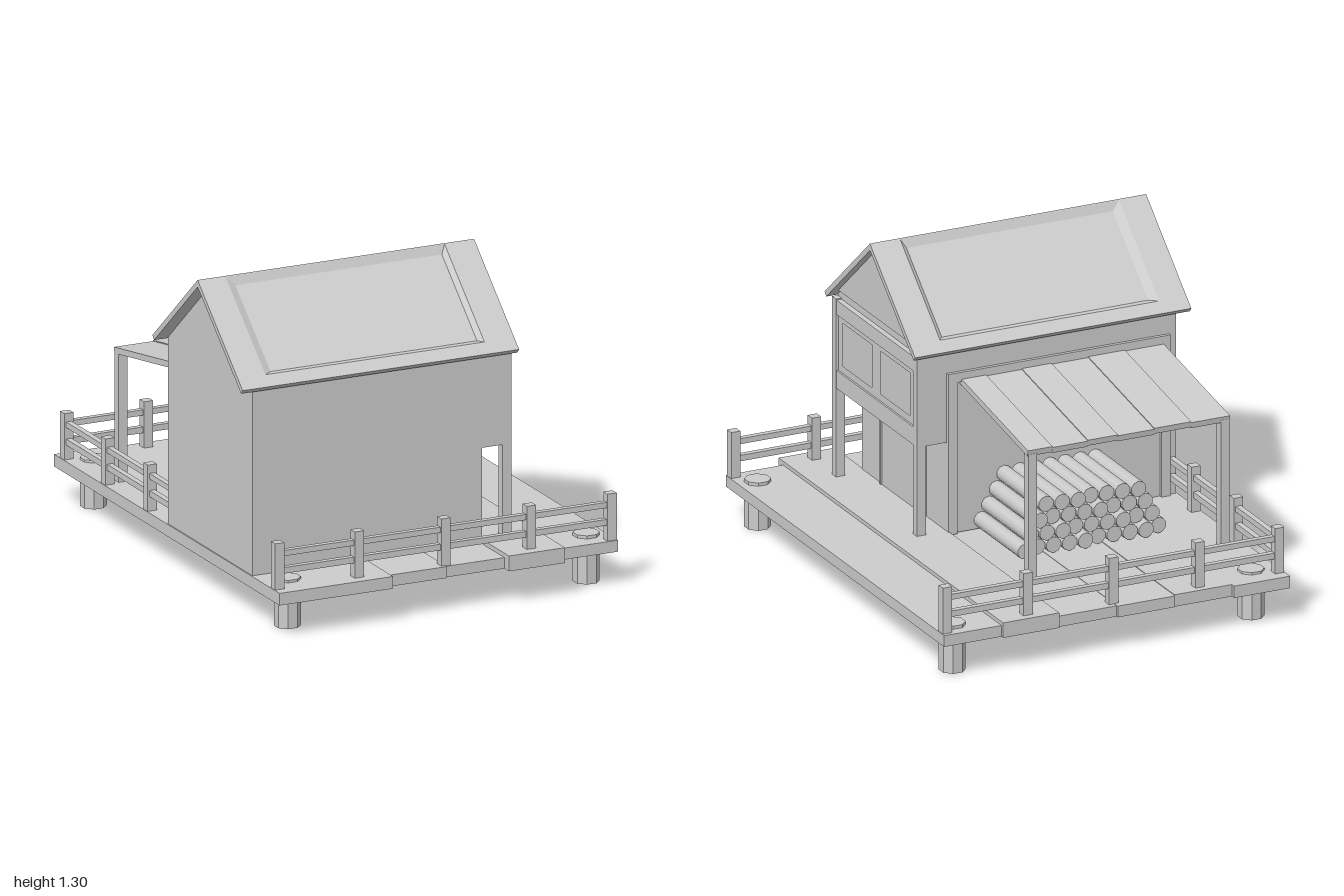
import * as THREE from 'three';

const timber = new THREE.MeshStandardMaterial({ color: 0xcccccc });
timber.name = 'paleGrey';

export function createModel() {
  const model = new THREE.Group();
  model.name = 'cabin';

  const add = (name, geometry, parent = model) => {
    const mesh = new THREE.Mesh(geometry, timber);
    mesh.name = name;
    parent.add(mesh);
    return mesh;
  };
  // box given by its minimum and maximum on each axis
  const box = (name, x0, x1, y0, y1, z0, z1, parent) =>
    add(name, new THREE.BoxGeometry(x1 - x0, y1 - y0, z1 - z0), parent)
      .position.set((x0 + x1) / 2, (y0 + y1) / 2, (z0 + z1) / 2);
  const group = (name) => {
    const g = new THREE.Group();
    g.name = name;
    model.add(g);
    return g;
  };
  // outline of (z, y) points pushed along x from x0 to x1
  const slab = (name, points, x0, x1, parent, holes = []) => {
    const toPath = (C, pts) => new C(pts.map(([z, y]) => new THREE.Vector2(-z, y)));
    const shape = toPath(THREE.Shape, points);
    shape.holes = holes.map((h) => toPath(THREE.Path, h));
    const g = new THREE.ExtrudeGeometry(shape, { depth: x1 - x0, bevelEnabled: false });
    add(name, g.rotateY(Math.PI / 2).translate(x0, 0, 0), parent);
  };
  const rect = (z0, z1, y0, y1) => [[z0, y0], [z1, y0], [z1, y1], [z0, y1]];

  // deck planks: x0, x1, back z, front z, top
  const deck = group('deck');
  [
    [-0.725, -0.48, -1, 1, 0.19],
    [-0.48, -0.23, -0.98, 1, 0.19],
    [-0.23, 0.02, -0.985, 0.97, 0.187],
    [0.02, 0.275, -0.975, 0.96, 0.185],
    [0.275, 0.52, -0.985, 1, 0.203],
    [0.52, 0.77, -0.97, 0.96, 0.187],
  ].forEach(([x0, x1, z0, z1, top]) => box('plank', x0, x1, 0.14, top, z0, z1, deck));

  // octagonal stilts poking through the deck
  const stilts = group('stilts');
  for (const x of [-0.615, 0.688]) for (const z of [-0.875, 0.845]) {
    const g = new THREE.CylinderGeometry(0.053, 0.053, 0.2, 8).rotateY(Math.PI / 8).toNonIndexed();
    g.computeVertexNormals();
    add('stilt', g, stilts).position.set(x, 0.1, z);
  }

  // fences along front, back and the open stretch of the left edge
  const fence = group('fence');
  const railHeights = [[0.25, 0.275], [0.322, 0.345]];
  const fencePost = (x, z) =>
    box('fencePost', x - 0.02, x + 0.02, 0.18, 0.38, z - 0.019, z + 0.019, fence);
  for (const z of [-0.934, 0.936]) {
    for (const x of [-0.702, -0.355, 0.022, 0.395, 0.747]) fencePost(x, z);
    for (const [y0, y1] of railHeights) box('rail', -0.7, 0.745, y0, y1, z - 0.012, z + 0.012, fence);
  }
  for (const z of [-0.195, -0.57]) fencePost(-0.702, z);
  for (const [y0, y1] of railHeights) box('rail', -0.714, -0.69, y0, y1, -0.93, 0, fence);

  // house body: lower room set back under the wider upper floor
  const house = group('house');
  box('lowerRoom', -0.72, 0.28, 0.19, 0.58, 0, 0.75, house);
  slab('upperFloor', [[0, 0.575], [0.75, 0.575], [0.75, 0.955], [0.375, 1.274], [0, 0.955]], -0.72, 0.385, house);
  for (const z of [0, 0.715]) {
    box('cornerWall', 0.38, 0.41, 0.575, 0.95, z, z + 0.035, house);
    box('porchPost', 0.37, 0.41, 0.19, 0.58, z, z + 0.035, house);
  }

  // gable end: beams, window panel and triangle
  box('lowerBeam', 0.38, 0.408, 0.575, 0.65, 0.035, 0.715, house);
  box('upperBeam', 0.38, 0.408, 0.885, 0.945, 0.035, 0.715, house);
  slab('windowFrames', rect(0.035, 0.715, 0.65, 0.885), 0.38, 0.4, house,
    [rect(0.415, 0.68, 0.68, 0.86), rect(0.08, 0.34, 0.68, 0.86)]);
  slab('gableTriangle', [[0.035, 0.985], [0.715, 0.985], [0.375, 1.274]], 0.38, 0.4, house);

  // door under the porch
  slab('doorFrame', [[0.18, 0.19], [0.192, 0.19], [0.192, 0.53], [0.563, 0.53], [0.563, 0.19],
    [0.575, 0.19], [0.575, 0.542], [0.18, 0.542]], 0.28, 0.29, house);
  box('door', 0.28, 0.284, 0.19, 0.53, 0.192, 0.563, house);

  // trim around the back wall
  box('backTrimTop', -0.69, 0.28, 0.825, 0.865, -0.015, 0, house);
  box('backTrimSide', -0.69, -0.65, 0.19, 0.825, -0.015, 0, house);
  box('backTrimSide', 0.24, 0.28, 0.19, 0.825, -0.015, 0, house);

  // roof slopes, each with a bevelled sunken field
  const roof = group('roof');
  for (const s of [1, -1]) {
    // h: distance from the ridge, d: depth below the surface
    const point = (x, h, d) => [x, 1.305 - h * 0.85 - d * 0.762, 0.375 + s * (h - d * 0.648)];
    const rings = [
      [-0.775, 0.43, 0.0143, 0.4, 0.022],
      [-0.775, 0.43, 0, 0.4, 0],
      [-0.655, 0.3, 0.003, 0.357, 0],
      [-0.62, 0.28, 0.03, 0.342, 0.016],
    ].map(([x0, x1, h0, h1, d]) => {
      const r = [point(x0, h1, d), point(x1, h1, d), point(x1, h0, d), point(x0, h0, d)];
      return s > 0 ? r : r.reverse();
    });
    const pos = [];
    const quad = (a, b, c, d) => pos.push(...a, ...b, ...c, ...a, ...c, ...d);
    for (let i = 0; i < 3; i++) for (let j = 0; j < 4; j++) {
      const k = (j + 1) % 4;
      quad(rings[i][j], rings[i][k], rings[i + 1][k], rings[i + 1][j]);
    }
    quad(...rings[3]);
    quad(...[...rings[0]].reverse());
    const g = new THREE.BufferGeometry();
    g.setAttribute('position', new THREE.Float32BufferAttribute(pos, 3));
    g.computeVertexNormals();
    add(s > 0 ? 'frontSlope' : 'backSlope', g, roof);
  }

  // lean-to roof of sloping boards on two posts
  const leanTo = group('leanTo');
  const edges = [-0.66, -0.49, -0.33, -0.17, -0.04, 0.115, 0.222];
  for (let i = 0; i < edges.length - 1; i++) {
    const lift = (i % 2) * 0.004;
    const g = new THREE.BoxGeometry(edges[i + 1] - edges[i], 0.025, 0.605);
    const board = add('roofBoard', g, leanTo);
    board.position.set((edges[i] + edges[i + 1]) / 2, 0.772 + lift, -0.3);
    board.rotation.x = -0.163;
  }
  for (const x of [-0.64, 0.2]) box('leanToPost', x - 0.019, x + 0.019, 0.18, 0.722, -0.599, -0.561, leanTo);

  // stacked logs, one fewer in each higher row
  const logs = group('logPile');
  for (let row = 0; row < 4; row++) for (let i = 0; i < 10 - row; i++) {
    const length = 0.365 + ((i * 3 + row * 5) % 4) * 0.008;
    const g = new THREE.CylinderGeometry(0.033, 0.033, length, 10).rotateX(Math.PI / 2);
    add('log', g, logs).position.set(-0.465 + row * 0.033 + i * 0.066, 0.227 + row * 0.059, -length / 2);
  }

  return model;
}
